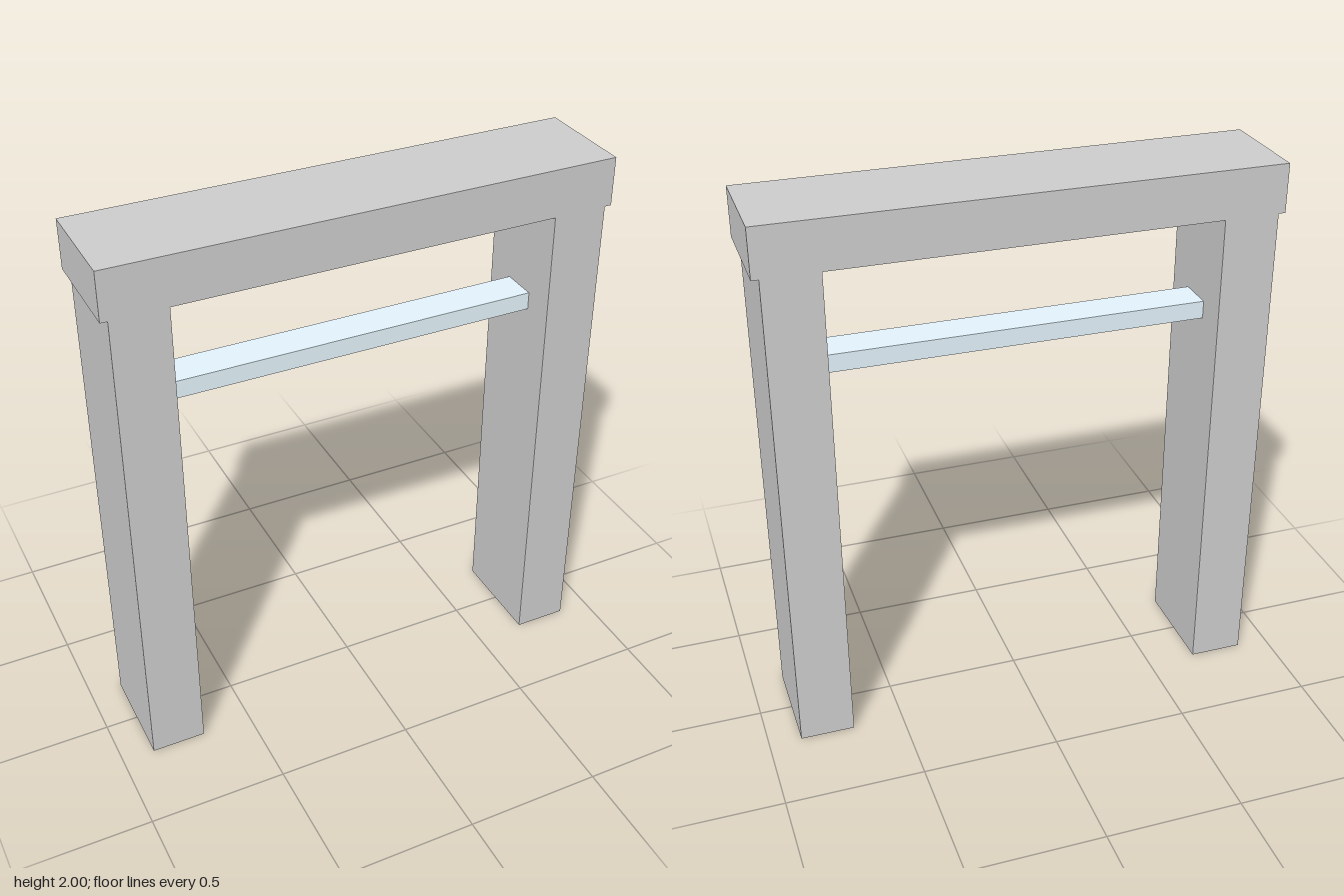
import * as THREE from 'three';

const HEIGHT = 2, DEPTH = 0.378;
const LINTEL_BOTTOM = 1.825, LINTEL_HALF = 0.907;
const LEG_INNER = 0.685, LEG_OUTER = 0.882;

export function createModel() {
  const group = new THREE.Group();
  group.name = 'gateway';

  // Frame: two posts and an overhanging lintel as one extruded outline
  const half = [
    [LEG_INNER, LINTEL_BOTTOM], [LEG_INNER, 0], [LEG_OUTER, 0],
    [LEG_OUTER, LINTEL_BOTTOM], [LINTEL_HALF, LINTEL_BOTTOM], [LINTEL_HALF, HEIGHT],
  ];
  const mirrored = half.map(([x, y]) => [-x, y]).reverse();
  const outline = new THREE.Shape([...half, ...mirrored].map(([x, y]) => new THREE.Vector2(x, y)));
  const frameGeometry = new THREE.ExtrudeGeometry(outline, { depth: DEPTH, bevelEnabled: false });
  frameGeometry.translate(0, 0, -DEPTH / 2);
  const frame = new THREE.Mesh(frameGeometry, new THREE.MeshStandardMaterial({ color: 0xcccccc }));
  frame.name = 'frame';

  // Flat crossbar between the posts
  const crossbar = new THREE.Mesh(
    new THREE.BoxGeometry(LEG_INNER * 2, 0.065, 0.134),
    new THREE.MeshStandardMaterial({ color: 0xe2f2fa }),
  );
  crossbar.name = 'crossbar';
  crossbar.position.y = 1.445;

  group.add(frame, crossbar);
  return group;
}
